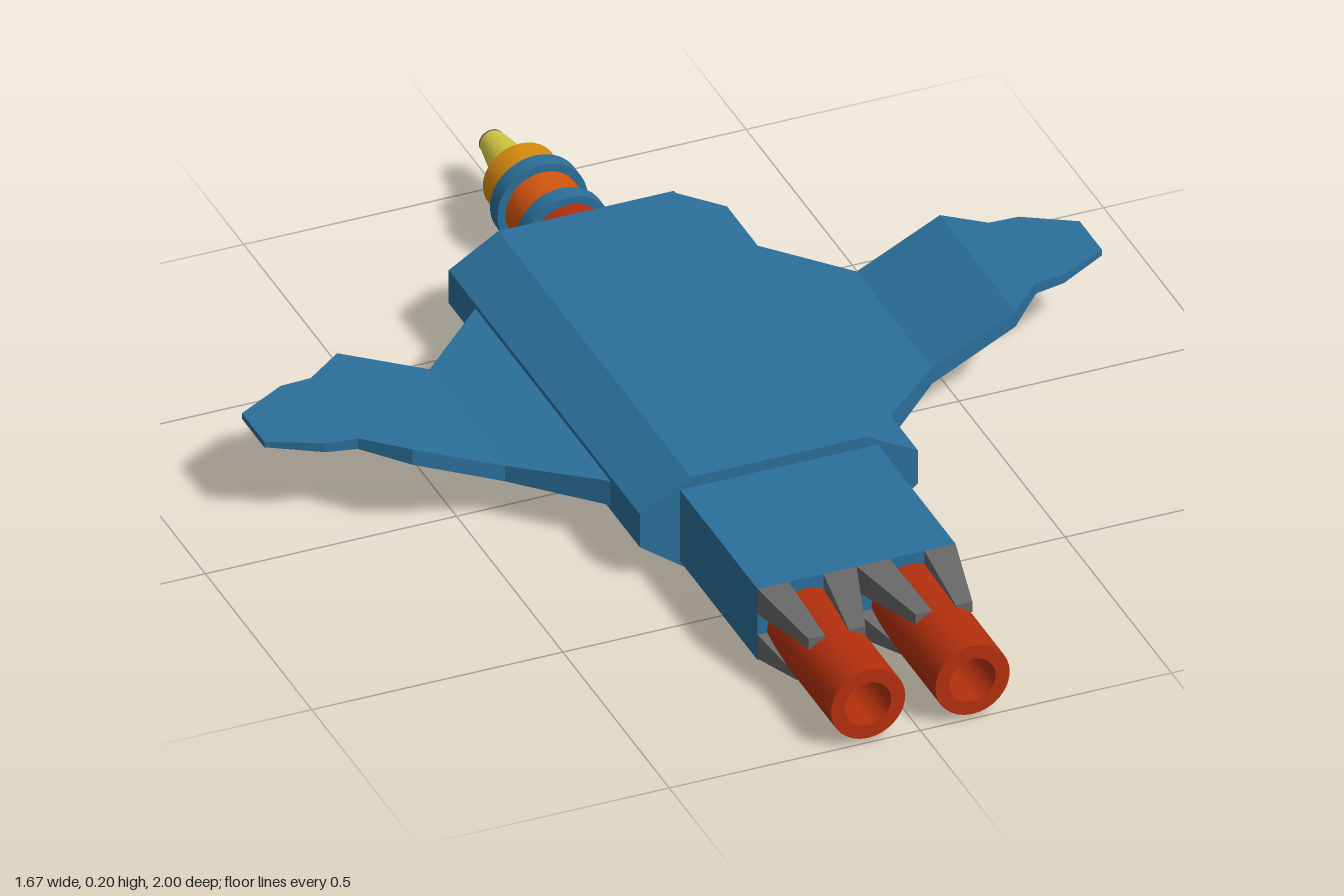
import * as THREE from 'three';
import { toCreasedNormals } from 'three/addons/utils/BufferGeometryUtils.js';

const mat = (name, color) => {
  const m = new THREE.MeshStandardMaterial({ color });
  m.name = name;
  return m;
};

// Flat-faced solid through cross-sections, each counter-clockwise about the sweep direction
function loft(rings) {
  const pos = [];
  const tri = (a, b, c) => pos.push(...a, ...b, ...c);
  const n = rings[0].length;
  for (let r = 0; r < rings.length - 1; r++) {
    const A = rings[r], B = rings[r + 1];
    for (let i = 0; i < n; i++) {
      const j = (i + 1) % n;
      tri(A[i], A[j], B[j]);
      tri(A[i], B[j], B[i]);
    }
  }
  const first = rings[0], last = rings[rings.length - 1];
  for (let i = 1; i < n - 1; i++) {
    tri(first[0], first[i + 1], first[i]);
    tri(last[0], last[i], last[i + 1]);
  }
  const g = new THREE.BufferGeometry();
  g.setAttribute('position', new THREE.Float32BufferAttribute(pos, 3));
  g.computeVertexNormals();
  return g;
}

// Rectangle in the xy plane at depth z
const rect = (x0, x1, y0, y1, z) => {
  const [l, r] = x0 < x1 ? [x0, x1] : [x1, x0];
  return [[l, y0, z], [r, y0, z], [r, y1, z], [l, y1, z]];
};

export function createModel() {
  const blue = mat('hullBlue', 0x2b6f9a);
  const red = mat('cannonRed', 0xb4300e);
  const orange = mat('orange', 0xd6560f);
  const amber = mat('amber', 0xd68a0e);
  const yellow = mat('yellow', 0xd6cd42);
  const grey = mat('clawGrey', 0x666666);

  const group = new THREE.Group();
  const add = (name, geometry, material) => {
    const m = new THREE.Mesh(geometry, material);
    m.name = name;
    group.add(m);
    return m;
  };

  // Octagonal hull, its rear corners slightly trimmed
  const octagon = (w, z) => [
    [-0.175, 0, z], [0.175, 0, z], [w, 0.075, z], [w, 0.147, z],
    [0.175, 0.202, z], [-0.175, 0.202, z], [-w, 0.147, z], [-w, 0.075, z],
  ];
  add('hull', loft([octagon(0.2, -0.571), octagon(0.277, -0.563), octagon(0.277, 0.335)]), blue);

  // Forward block
  add('noseBlock', loft([rect(-0.197, 0.197, 0.025, 0.18, 0.3), rect(-0.197, 0.197, 0.025, 0.18, 0.7)]), blue);

  // Gull wings: x, rear z, front z, bottom y, top y
  const stations = [
    [0.22, -0.44, 0.2, 0.085, 0.138],
    [0.275, -0.44, 0.2, 0.085, 0.138],
    [0.425, -0.303, 0.052, 0.088, 0.122],
    [0.6, -0.325, 0.03, 0.155, 0.188],
    [0.675, -0.272, -0.05, 0.161, 0.184],
    [0.735, -0.272, -0.06, 0.163, 0.182],
    [0.834, -0.22, -0.115, 0.166, 0.178],
  ];
  for (const s of [1, -1]) {
    const rings = stations.map(([x, z0, z1, y0, y1]) => {
      const ring = [[s * x, y0, z0], [s * x, y1, z0], [s * x, y1, z1], [s * x, y0, z1]];
      return s > 0 ? ring : ring.reverse();
    });
    add(s > 0 ? 'leftWing' : 'rightWing', loft(rings), blue);
  }

  // Hollow barrels, each gripped by four claws
  for (const s of [1, -1]) {
    const profile = [[0.046, 0], [0.074, 0], [0.074, 0.39], [0.046, 0.39], [0.046, 0]]
      .map(([r, y]) => new THREE.Vector2(r, y));
    const tube = new THREE.LatheGeometry(profile, 32).rotateX(Math.PI / 2);
    const barrel = add('barrel', toCreasedNormals(tube, 0.6), red);
    barrel.position.set(s * 0.104, 0.084, 0.61);

    // Base x pair, then tip x pair
    for (const [a, b, c, d] of [[0.135, 0.197, 0.13, 0.163], [0, 0.066, 0.05, 0.083]]) {
      add('upperClaw', loft([rect(s * a, s * b, 0.125, 0.18, 0.7), rect(s * c, s * d, 0.135, 0.157, 0.86)]), grey);
      add('lowerClaw', loft([rect(s * a, s * b, 0.028, 0.08, 0.7), rect(s * c, s * d, 0.035, 0.045, 0.805)]), grey);
    }
  }

  // Rear drive stack: name, near z, far z, near radius, far radius, material
  const stack = [
    ['driveBase', -0.55, -0.64, 0.074, 0.074, red],
    ['innerCollar', -0.64, -0.675, 0.09, 0.09, blue],
    ['driveMiddle', -0.675, -0.76, 0.074, 0.074, orange],
    ['outerCollar', -0.76, -0.795, 0.09, 0.09, blue],
    ['driveEnd', -0.795, -0.866, 0.074, 0.074, amber],
    ['tailCone', -0.866, -0.996, 0.047, 0.025, yellow],
    ['tailCap', -0.996, -1, 0.025, 0.025, grey],
  ];
  for (const [name, z0, z1, r0, r1, material] of stack) {
    const g = new THREE.CylinderGeometry(r0, r1, z0 - z1, 32).rotateX(Math.PI / 2);
    add(name, g, material).position.set(-0.007, 0.102, (z0 + z1) / 2);
  }

  return group;
}
